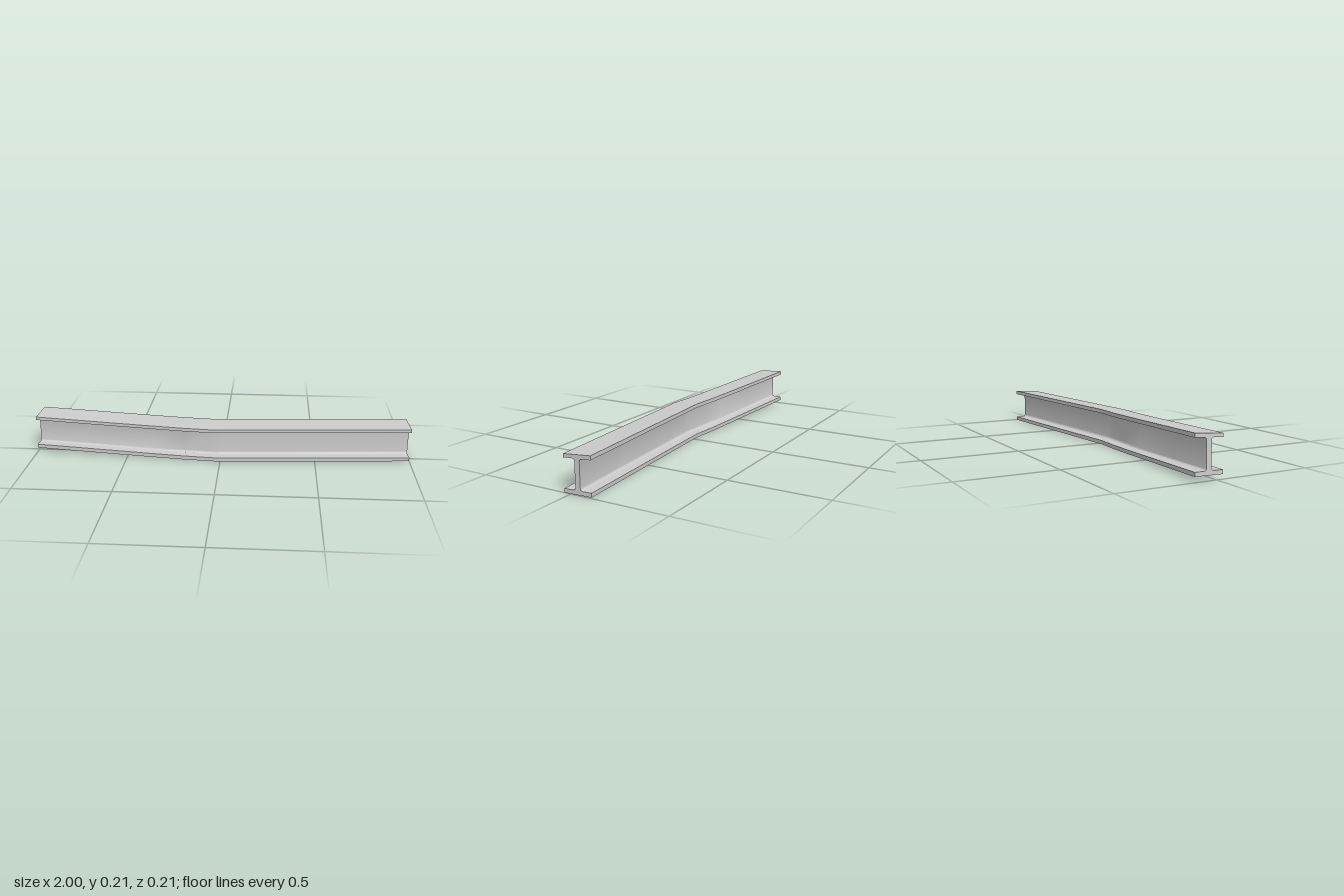
import * as THREE from 'three';
import { toCreasedNormals } from 'three/addons/utils/BufferGeometryUtils.js';

// I-section: flat lower flange, web with fillets, slightly tilted upper flange
function beamSection() {
  const h = 0.0695, web = 0.0125, r = 0.014, low = 0.02;
  const under = (u) => 0.164 - 0.043 * u;
  const s = new THREE.Shape();
  s.moveTo(-h, 0);
  s.lineTo(h, 0);
  s.lineTo(h, low);
  s.lineTo(web + r, low);
  s.quadraticCurveTo(web, low, web, low + r);
  s.lineTo(web, under(web) - r);
  s.quadraticCurveTo(web, under(web), web + r, under(web + r));
  s.lineTo(h, under(h));
  s.lineTo(h, 0.178);
  s.lineTo(-h, 0.187);
  s.lineTo(-h, under(-h));
  s.lineTo(-web - r, under(-web - r));
  s.quadraticCurveTo(-web, under(-web), -web, under(-web) - r);
  s.lineTo(-web, low + r);
  s.quadraticCurveTo(-web, low, -web - r, low);
  s.lineTo(-h, low);
  s.closePath();
  return s;
}

// Centre line stations from the right-hand end to the left: [x, rise]
const stations = [
  [0.995, 0], [0.6, 0], [0.25, 0], [0, 0], [-0.03, 0], [-0.06, 0],
  [-0.2, 0.001], [-0.37, 0.005], [-0.7, 0.014], [-0.994, 0.022],
];
const bendX = -0.03, bendZ = 0.0345, endZ = -0.036;

function bentBeam() {
  const steps = stations.length - 1;
  const geo = new THREE.ExtrudeGeometry(beamSection(), {
    depth: steps, steps, bevelEnabled: false, curveSegments: 5,
  });
  const p = geo.attributes.position;
  for (let i = 0; i < p.count; i++) {
    const u = p.getX(i), v = p.getY(i);
    const [x, rise] = stations[Math.round(p.getZ(i))];
    // signed distance from the bend, -1 to 1; sections turn square to the arms
    const t = x > bendX ? (x - bendX) / (0.995 - bendX) : (x - bendX) / (0.994 + bendX);
    const lean = rise * v;
    p.setXYZ(i, x + u * 0.072 * t + lean, v + rise, bendZ + (endZ - bendZ) * Math.abs(t) + u);
  }
  return toCreasedNormals(geo, 0.5);
}

export function createModel() {
  const group = new THREE.Group();
  group.name = 'bentBeam';
  const beam = new THREE.Mesh(bentBeam(), new THREE.MeshStandardMaterial({ color: 0xcccccc }));
  beam.name = 'iBeam';
  group.add(beam);
  return group;
}
